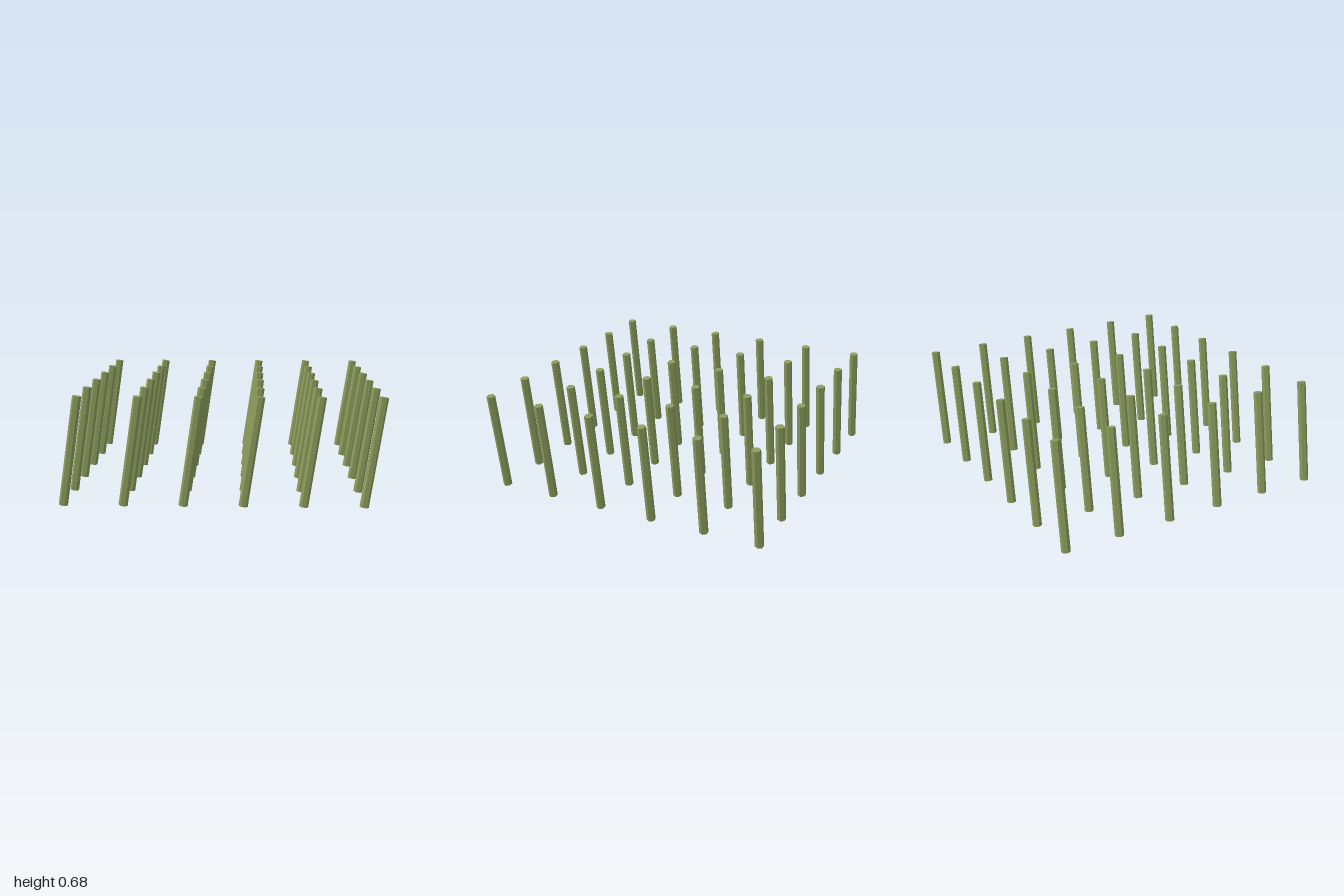
import * as THREE from 'three';

export function createModel() {
  const model = new THREE.Group();
  model.name = 'rodField';

  const mossGreen = new THREE.MeshStandardMaterial({ color: 0x8a9a5b, flatShading: true });
  mossGreen.name = 'mossGreen';

  const COUNT = 6;
  const SPACING = 0.368;
  const RADIUS = 0.0285;
  const LENGTH = 0.683;
  const TILT = 0.15;

  // Hexagonal rod with corners pointing to the sides, leaning towards +x
  const rodGeometry = new THREE.CylinderGeometry(RADIUS, RADIUS, LENGTH, 6, 1, false, Math.PI / 2);
  rodGeometry.rotateZ(-TILT);
  rodGeometry.computeBoundingBox();
  rodGeometry.translate(0, -rodGeometry.boundingBox.min.y, 0);

  // Square grid of identical rods
  const middle = (COUNT - 1) / 2;
  for (let row = 0; row < COUNT; row++) {
    for (let column = 0; column < COUNT; column++) {
      const rod = new THREE.Mesh(rodGeometry, mossGreen);
      rod.name = `rodRow${row + 1}Column${column + 1}`;
      rod.position.set((column - middle) * SPACING, 0, (row - middle) * SPACING);
      model.add(rod);
    }
  }
  return model;
}
